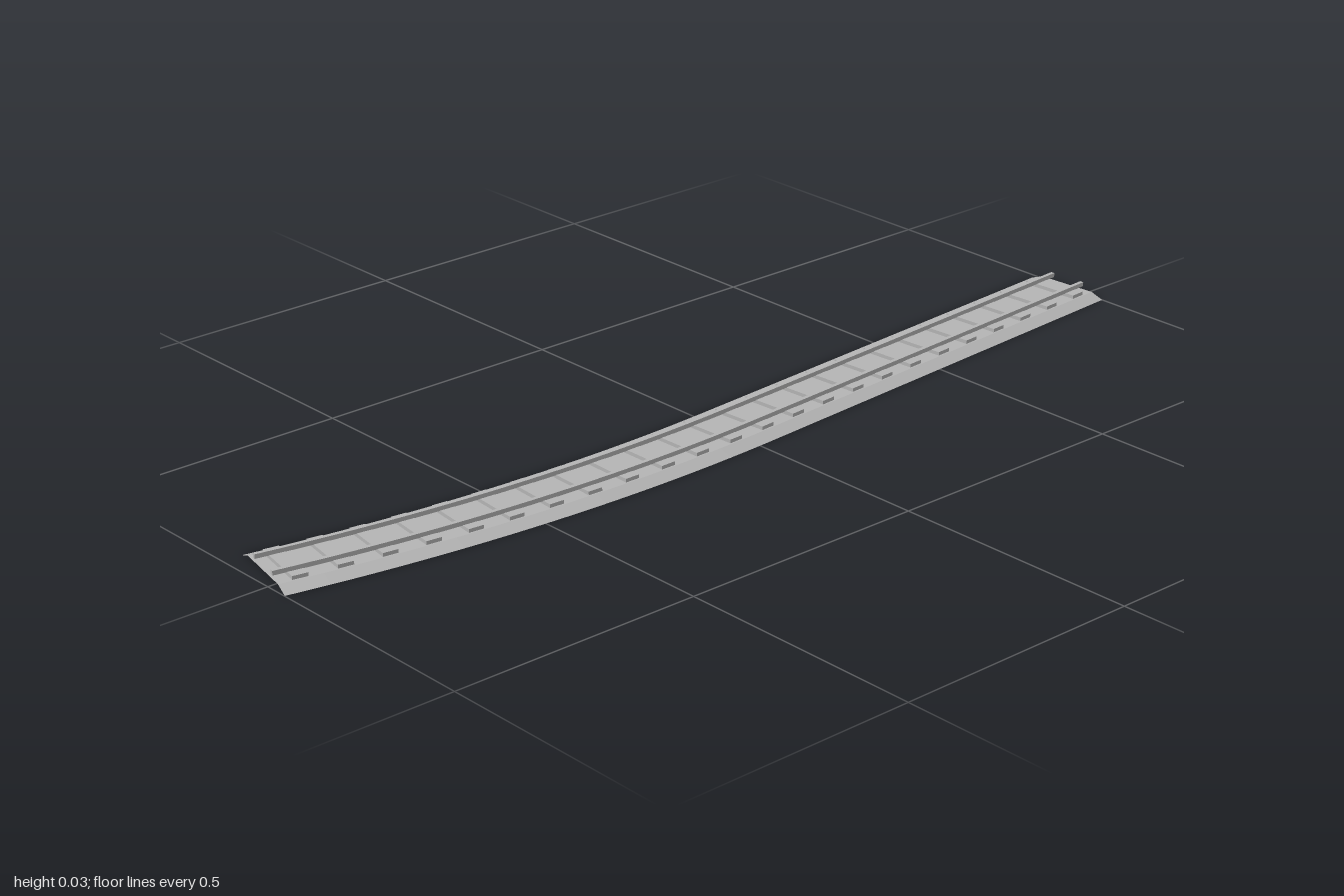
import * as THREE from 'three';

// Track centreline: a straight run that eases into a constant-radius bend
const START_ANGLE = 0.0735, END_ANGLE = -0.21, RADIUS = 3.6;
const BEND_X = 0.038, BEND_Z = 0.23; // point of the bend where the track runs along z
const STRAIGHT = 0.9616;
const LENGTH = STRAIGHT + RADIUS * (START_ANGLE - END_ANGLE);

function frameAt(s) {
  const angle = START_ANGLE - Math.max(0, s - STRAIGHT) / RADIUS;
  const back = Math.max(0, STRAIGHT - s);
  return {
    angle,
    x: BEND_X - RADIUS * (1 - Math.cos(angle)) - back * Math.sin(angle),
    z: BEND_Z - RADIUS * Math.sin(angle) - back * Math.cos(angle),
  };
}

// Sweep a [across, up] profile along the track; closed profiles run clockwise and get end caps
function sweep(profile, closed) {
  const steps = 48, n = profile.length, pos = [], index = [];
  for (let i = 0; i <= steps; i++) {
    const f = frameAt((LENGTH * i) / steps);
    for (const [u, v] of profile) {
      pos.push(f.x + u * Math.cos(f.angle), v, f.z - u * Math.sin(f.angle));
    }
  }
  for (let i = 0; i < steps; i++) {
    for (let j = 0; j < (closed ? n : n - 1); j++) {
      const k = (j + 1) % n;
      const a = i * n + j, b = i * n + k, c = a + n, d = b + n;
      index.push(a, c, b, b, c, d);
    }
  }
  if (closed) {
    const e = steps * n;
    for (let k = 1; k < n - 1; k++) index.push(0, k, k + 1, e, e + k + 1, e + k);
  }
  const geo = new THREE.BufferGeometry();
  geo.setAttribute('position', new THREE.Float32BufferAttribute(pos, 3));
  geo.setIndex(index);
  const flat = geo.toNonIndexed();
  flat.computeVertexNormals();
  return flat;
}

export function createModel() {
  const group = new THREE.Group();
  group.name = 'curvedTrack';
  const grey = new THREE.MeshStandardMaterial({ color: 0xb5b5b5, side: THREE.DoubleSide });
  grey.name = 'grey';

  const add = (name, geo) => {
    const mesh = new THREE.Mesh(geo, grey);
    mesh.name = name;
    group.add(mesh);
    return mesh;
  };

  // Gravel bed: open shell with sloping shoulders
  add('ballast', sweep([[-0.09, 0], [-0.063, 0.01], [0.063, 0.01], [0.09, 0]], false));

  // Sleepers, square to the track
  const sleeperGeo = new THREE.BoxGeometry(0.12, 0.008, 0.03);
  const count = 24;
  for (let i = 0; i < count; i++) {
    const f = frameAt((LENGTH * (i + 0.5)) / count);
    const sleeper = add('sleeper', sleeperGeo);
    sleeper.position.set(f.x, 0.013, f.z);
    sleeper.rotation.y = f.angle;
  }

  // Pair of rails
  for (const [name, u] of [['rightRail', -0.037], ['leftRail', 0.037]]) {
    const w = 0.004;
    add(name, sweep([[u - w, 0.0165], [u - w, 0.025], [u + w, 0.025], [u + w, 0.0165]], true));
  }
  return group;
}
